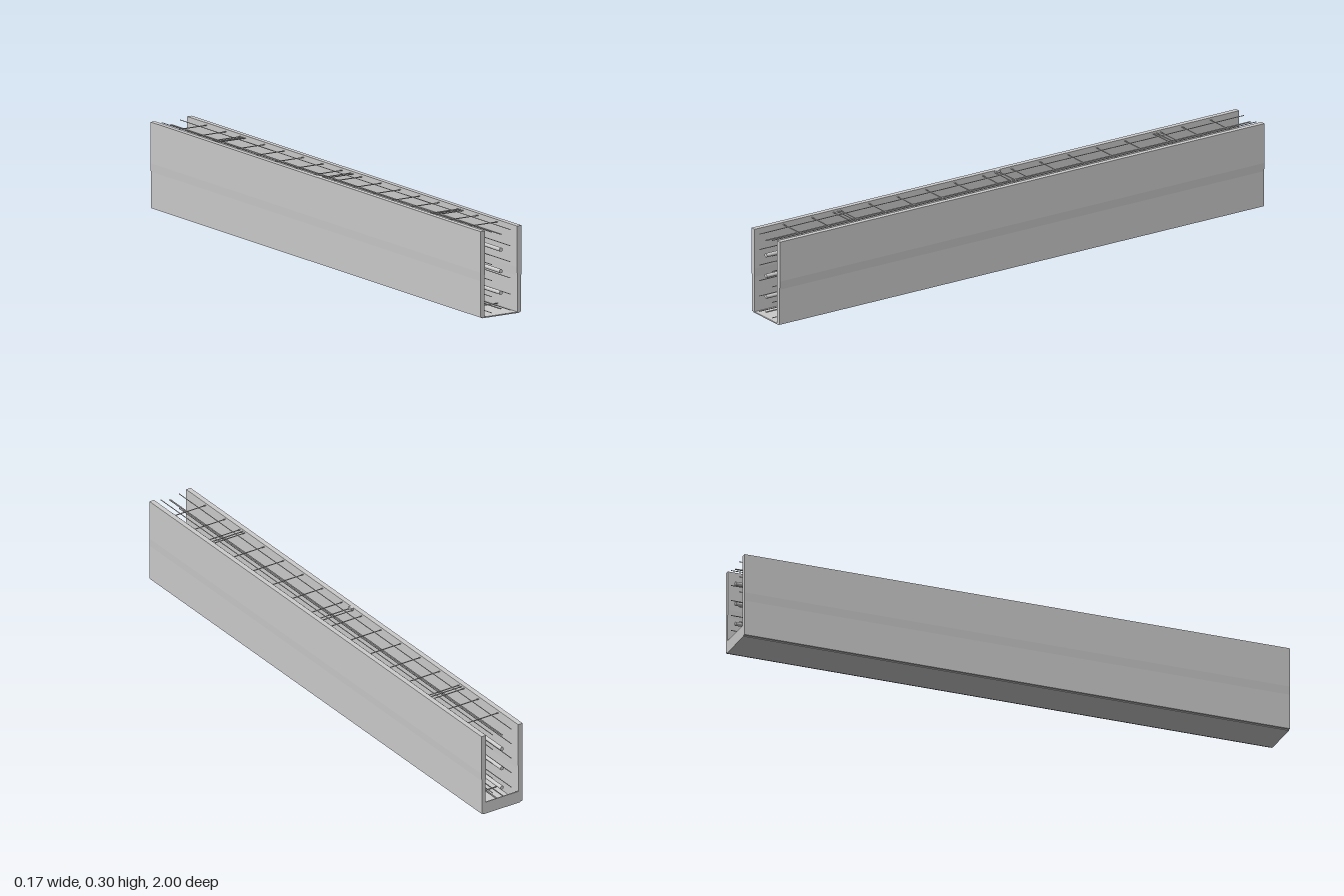
import * as THREE from 'three';

const L = 2; // overall length along z

export function createModel() {
  const group = new THREE.Group();
  const mat = new THREE.MeshStandardMaterial({ color: 0xcccccc });

  const add = (name, geometry, x = 0, y = 0, z = 0) => {
    const mesh = new THREE.Mesh(geometry, mat);
    mesh.name = name;
    mesh.position.set(x, y, z);
    group.add(mesh);
    return mesh;
  };
  const box = (name, w, h, d, x, y, z) => add(name, new THREE.BoxGeometry(w, h, d), x, y, z);

  // Side walls: slightly thicker in the upper half
  for (const s of [-1, 1]) {
    const profile = [
      [0.067, 0.003], [0.083, 0.003], [0.083, 0.13], [0.0845, 0.16],
      [0.0845, 0.303], [0.066, 0.303], [0.066, 0.16], [0.067, 0.13],
    ].map(([x, y]) => new THREE.Vector2(s * x, y));
    const wall = new THREE.ExtrudeGeometry(new THREE.Shape(profile), { depth: L, bevelEnabled: false });
    add(s > 0 ? 'leftWall' : 'rightWall', wall, 0, 0, -L / 2);
  }

  // Floor sheet and the low stop at the back end
  box('floor', 0.15, 0.004, L, 0, 0.002, 0);
  box('endStop', 0.134, 0.04, 0.004, 0, 0.024, -0.998);

  // Lengthwise bars
  const bar = (name, x, y, r, sides) =>
    add(name, new THREE.CylinderGeometry(r, r, L, sides).rotateX(Math.PI / 2), x, y, 0);
  for (const x of [-0.0375, 0.0375])
    for (let i = 0; i < 6; i++) bar('longBar', x, 0.014 + i * 0.0561, 0.0015, 8);
  for (const y of [0.079, 0.154, 0.229]) bar('centreTube', 0, y, 0.007, 20);
  for (const y of [0.023, 0.283])
    for (const x of [-0.002, 0.002]) bar('centreBar', x, y, 0.0015, 8);

  // Cross bars at top and bottom, evenly spaced
  const crossBar = (name, y, z) =>
    add(name, new THREE.CylinderGeometry(0.0018, 0.0018, 0.134, 8).rotateZ(Math.PI / 2), 0, y, z);
  for (const y of [0.0115, 0.295]) {
    for (let i = 0; i < 16; i++) crossBar('crossBar', y, (i - 7.5) * 0.1175);
    // Extra bars in the middle and at both thirds
    for (const z of [-0.667, 0, 0.667])
      for (const dz of [-0.008, 0.008]) crossBar('tieBar', y, z + dz);
  }

  // Small clip on the right wall
  box('wallClip', 0.009, 0.007, 0.018, -0.062, 0.2995, 0);

  return group;
}
